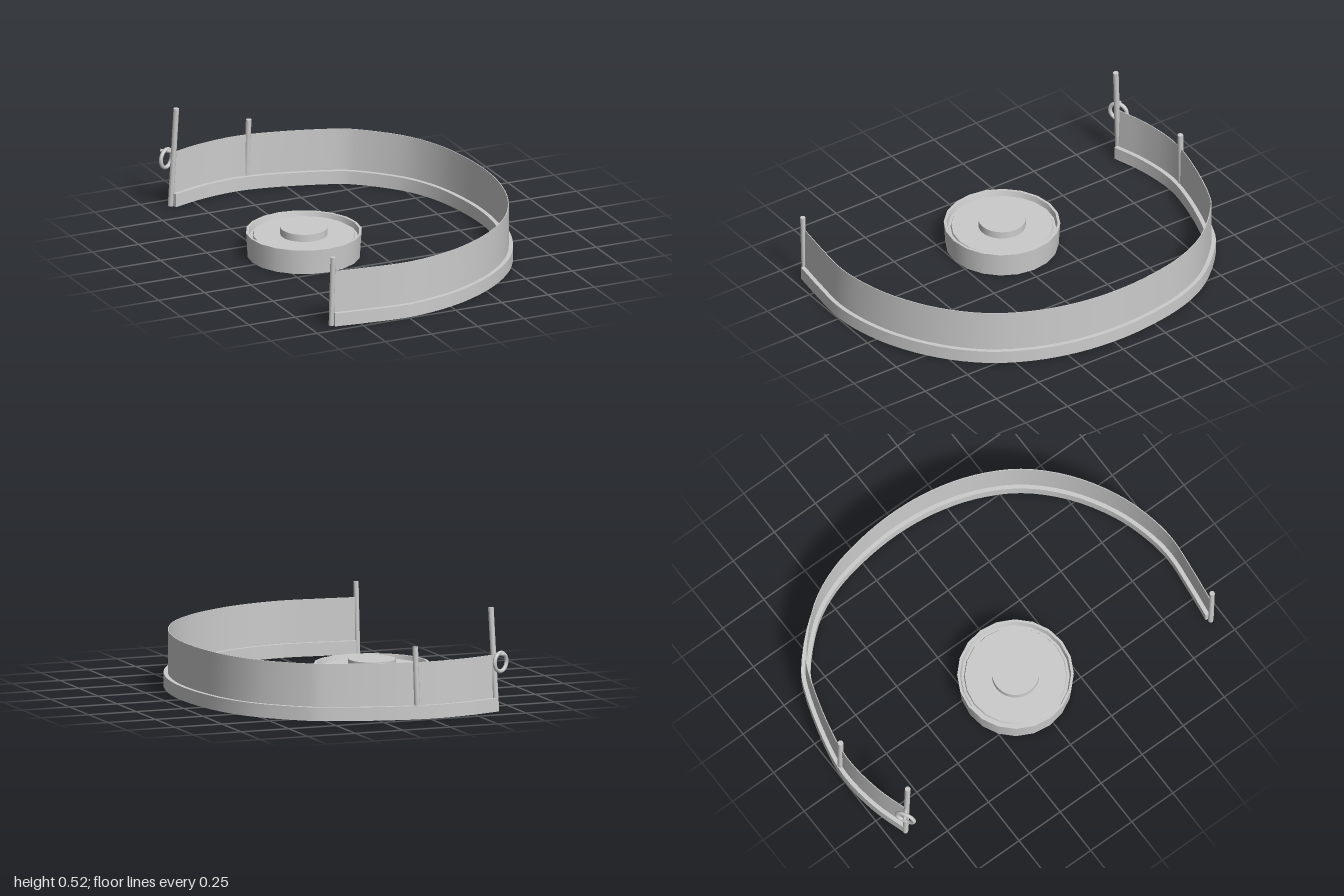
import * as THREE from 'three';

const material = new THREE.MeshStandardMaterial({ color: 0xcccccc, side: THREE.DoubleSide });

function addMesh(parent, name, geometry) {
  const mesh = new THREE.Mesh(geometry, material);
  mesh.name = name;
  parent.add(mesh);
  return mesh;
}

// Ground line of the curved wall, from its back end round to its front end (x, z)
const wallLine = new THREE.CatmullRomCurve3([
  [-0.62, -0.905], [-0.45, -0.955], [-0.24, -0.978], [-0.03, -0.945], [0.24, -0.86],
  [0.32, -0.815], [0.5, -0.63], [0.59, -0.45], [0.637, -0.24], [0.652, -0.03],
  [0.632, 0.185], [0.57, 0.4], [0.46, 0.6], [0.29, 0.77], [0.08, 0.895],
  [-0.105, 0.955], [-0.265, 0.976], [-0.45, 0.96], [-0.63, 0.937],
].map(([x, z]) => new THREE.Vector3(x, 0, z)));

// Sweeps an upright rectangle along the wall line, with sharp long edges and end caps
function sweepWall(halfWidth, bottom, top, steps = 72) {
  const section = [[halfWidth, bottom], [halfWidth, top], [-halfWidth, top], [-halfWidth, bottom]];
  const positions = [], indices = [];
  const pushCorner = (step, [offset, y]) => {
    const p = wallLine.getPoint(step / steps);
    const t = wallLine.getTangent(step / steps);
    positions.push(p.x + t.z * offset, y, p.z - t.x * offset);
  };
  section.forEach((corner, k) => {
    const first = positions.length / 3;
    for (let i = 0; i <= steps; i++) {
      pushCorner(i, corner);
      pushCorner(i, section[(k + 1) % 4]);
      if (i < steps) {
        const a = first + i * 2;
        indices.push(a, a + 1, a + 2, a + 1, a + 3, a + 2);
      }
    }
  });
  for (const [step, order] of [[0, [0, 3, 2, 1]], [steps, [0, 1, 2, 3]]]) {
    const a = positions.length / 3;
    order.forEach((k) => pushCorner(step, section[k]));
    indices.push(a, a + 1, a + 2, a, a + 2, a + 3);
  }
  const geometry = new THREE.BufferGeometry();
  geometry.setAttribute('position', new THREE.Float32BufferAttribute(positions, 3));
  geometry.setIndex(indices);
  geometry.computeVertexNormals();
  return geometry;
}

// Round bar between two points
function addBar(parent, name, from, to, radius) {
  const a = new THREE.Vector3(...from), b = new THREE.Vector3(...to);
  const direction = b.clone().sub(a);
  const bar = addMesh(parent, name, new THREE.CylinderGeometry(radius, radius, direction.length(), 10));
  bar.position.copy(a).add(b).multiplyScalar(0.5);
  bar.quaternion.setFromUnitVectors(new THREE.Vector3(0, 1, 0), direction.normalize());
  return bar;
}

// Lathe whose profile segments keep sharp edges between them
function addTurned(parent, name, profile, sides) {
  const part = new THREE.Group();
  part.name = name;
  for (let i = 0; i + 1 < profile.length; i++) {
    const points = [profile[i], profile[i + 1]].map(([r, y]) => new THREE.Vector2(r, y));
    addMesh(part, name + 'Surface', new THREE.LatheGeometry(points, sides));
  }
  parent.add(part);
}

export function createModel() {
  const model = new THREE.Group();
  model.name = 'curvedFenceAndRoundTub';

  // Curved wall: low kerb with a thin sheet standing in it
  const fence = new THREE.Group();
  fence.name = 'fence';
  addMesh(fence, 'kerb', sweepWall(0.023, 0.003, 0.07));
  addMesh(fence, 'sheet', sweepWall(0.002, 0.003, 0.283));

  // Posts
  addBar(fence, 'frontPost', [-0.642, 0.003, 0.934], [-0.638, 0.36, 0.946], 0.013);
  addBar(fence, 'backPost', [-0.186, 0.01, -0.982], [-0.177, 0.36, -0.974], 0.014);
  addBar(fence, 'tallEndPost', [-0.628, 0.003, -0.915], [-0.61, 0.515, -0.888], 0.014);

  // Ring latch on the tall post
  const latch = new THREE.Group();
  latch.name = 'latch';
  const ring = addMesh(latch, 'latchRing', new THREE.TorusGeometry(0.046, 0.01, 8, 24));
  ring.position.set(-0.645, 0.248, -0.928);
  ring.rotation.y = Math.atan2(0.04, 0.07);
  addBar(latch, 'latchPin', [-0.665, 0.285, -0.95], [-0.615, 0.285, -0.9], 0.008);
  fence.add(latch);
  model.add(fence);

  // Round tub, open below, with a recessed lid and a raised centre
  const tub = new THREE.Group();
  tub.name = 'tub';
  tub.position.set(-0.332, 0, -0.024);
  addTurned(tub, 'tubWall', [
    [0.264, 0.09], [0.268, 0], [0.277, 0], [0.285, 0.125], [0.272, 0.125], [0.264, 0.09],
  ], 20);
  addTurned(tub, 'lid', [
    [0, 0.085], [0.265, 0.085], [0.265, 0.097], [0.252, 0.097], [0.248, 0.108], [0, 0.108],
  ], 20);
  addTurned(tub, 'lidCentre', [[0.116, 0.106], [0.116, 0.145], [0, 0.145]], 32);
  model.add(tub);

  return model;
}
